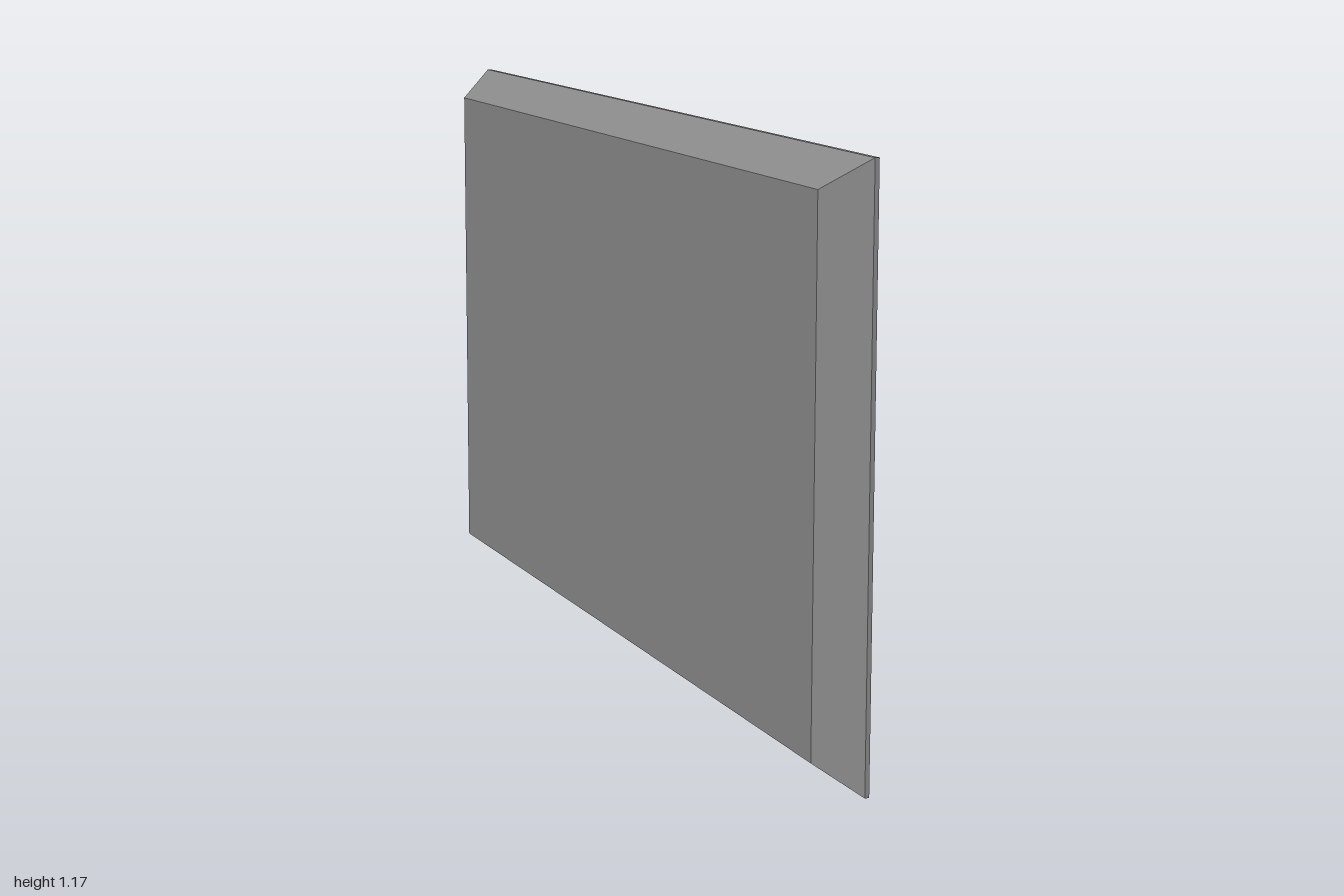
import * as THREE from 'three';

const CENTRE_Y = 0.587;

// Rounded rectangle in the y-z plane at depth x, counter-clockwise seen from +x
function loop(x, halfZ, halfY, r = 0) {
  const points = [];
  for (const [sz, sy, start] of [[1, 1, 0], [-1, 1, 1], [-1, -1, 2], [1, -1, 3]]) {
    for (let k = 0; k <= 4; k++) {
      const a = (start + k / 4) * Math.PI / 2;
      points.push(new THREE.Vector3(
        x,
        CENTRE_Y + sy * (halfY - r) + r * Math.sin(a),
        -(sz * (halfZ - r) + r * Math.cos(a))
      ));
    }
  }
  return points;
}

// Join consecutive loops with flat-shaded faces, leaving out collapsed triangles
function loft(loops) {
  const positions = [];
  const tri = (a, b, c) => {
    if (new THREE.Triangle(a, b, c).getArea() < 1e-9) return;
    for (const p of [a, b, c]) positions.push(p.x, p.y, p.z);
  };
  for (let j = 0; j < loops.length - 1; j++) {
    const a = loops[j], b = loops[j + 1];
    for (let i = 0; i < a.length; i++) {
      const n = (i + 1) % a.length;
      tri(a[i], a[n], b[n]);
      tri(a[i], b[n], b[i]);
    }
  }
  const geometry = new THREE.BufferGeometry();
  geometry.setAttribute('position', new THREE.Float32BufferAttribute(positions, 3));
  geometry.computeVertexNormals();
  return geometry;
}

function part(name, color, loops) {
  const mesh = new THREE.Mesh(loft(loops), new THREE.MeshStandardMaterial({ color }));
  mesh.name = name;
  return mesh;
}

export function createModel() {
  const group = new THREE.Group();
  group.name = 'flatScreen';

  const recess = loop(0.028, 0.944, 0.529, 0.01);

  // Housing: flat back, bevelled sides, thin lip, front bezel and recess wall
  group.add(part('housing', 0x8a8a8a, [
    loop(-0.045, 0, 0),
    loop(-0.045, 0.94, 0.528),
    loop(0.036, 1, CENTRE_Y),
    loop(0.045, 1, CENTRE_Y),
    loop(0.045, 0.944, 0.529, 0.01),
    recess
  ]));

  // Screen panel set into the bezel
  group.add(part('screen', 0xcccccc, [recess, loop(0.028, 0, 0)]));

  return group;
}
